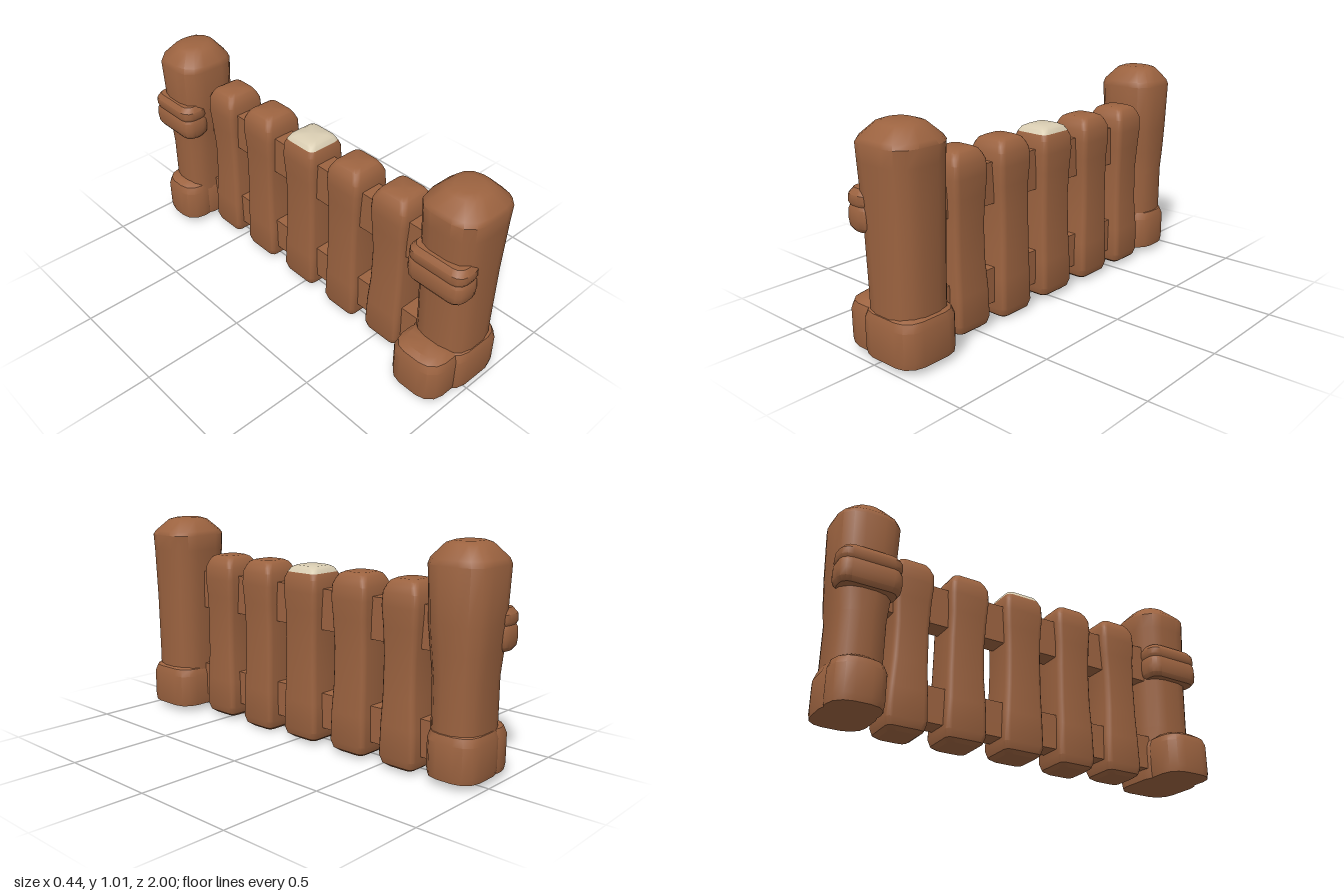
import * as THREE from 'three';
import { toCreasedNormals } from 'three/addons/utils/BufferGeometryUtils.js';

const wood = new THREE.MeshStandardMaterial({ color: 0x9c6340 });
wood.name = 'brown wood';
const cream = new THREE.MeshStandardMaterial({ color: 0xd9cdb2 });
cream.name = 'pale cream';

// Rounded rectangle outline, running from +x towards +z
function outline(x0, x1, z0, z1, r, steps = 3) {
  const pts = [];
  const corners = [[x1 - r, z1 - r], [x0 + r, z1 - r], [x0 + r, z0 + r], [x1 - r, z0 + r]];
  corners.forEach(([cx, cz], q) => {
    for (let k = 0; k <= steps; k++) {
      const a = (q + k / steps) * Math.PI / 2;
      pts.push([cx + r * Math.cos(a), cz + r * Math.sin(a)]);
    }
  });
  return pts;
}

// Closed solid through level sections [y, x0, x1, z0, z1, cornerRadius]
function loft(name, sections, material = wood) {
  const pos = [], index = [];
  let n = 0;
  for (const [y, ...box] of sections) {
    const ring = outline(...box);
    n = ring.length;
    for (const [x, z] of ring) pos.push(x, y, z);
  }
  const last = sections.length - 1;
  for (const s of [sections[0], sections[last]]) pos.push((s[1] + s[2]) / 2, s[0], (s[3] + s[4]) / 2);
  const bottom = n * (last + 1), top = bottom + 1;
  for (let j = 0; j < n; j++) {
    const k = (j + 1) % n;
    for (let i = 0; i < last; i++) {
      const a = i * n + j, b = i * n + k;
      index.push(a, a + n, b, b, a + n, b + n);
    }
    index.push(bottom, j, k, top, last * n + k, last * n + j);
  }
  const geo = new THREE.BufferGeometry();
  geo.setAttribute('position', new THREE.Float32BufferAttribute(pos, 3));
  geo.setIndex(index);
  const mesh = new THREE.Mesh(toCreasedNormals(geo, 0.6), material);
  mesh.name = name;
  return mesh;
}

// Sections of one footprint, from [y, inset] pairs
const inset = (box, r, levels) => levels.map(([y, d]) =>
  [y, box[0] + d, box[1] - d, box[2] + d, box[3] - d, Math.max(r - d * 0.4, 0.01)]);

const baseLevels = [[0.03, 0.004], [0.06, 0], [0.19, 0], [0.225, 0.012], [0.245, 0.04]];
const bandLevels = [[0.555, 0.018], [0.575, 0.004], [0.61, 0], [0.65, 0.002], [0.664, 0.008],
  [0.678, 0.002], [0.71, 0.004], [0.735, 0.022]];

// Shaft, strap on the -x side, and a two-lobed foot
function post(name, shaft, band, lobes) {
  const g = new THREE.Group();
  g.name = name;
  g.add(loft('postShaft', shaft));
  g.add(loft('postBand', inset(band, 0.05, bandLevels)));
  lobes.forEach(l => g.add(loft('postFoot', inset(l, 0.085, baseLevels))));
  return g;
}

// Uneven plank with a slim waist and bevelled ends
function picket(z, half, bottom, waist, lean, painted) {
  const g = new THREE.Group();
  g.name = 'picket';
  const at = (y, d, dz = 0) => [y, -0.08 + d, 0.125 - d, z - half + d + dz, z + half - d + dz, 0.026];
  const sections = [
    at(bottom, 0.03), at(bottom + 0.015, 0.01), at(bottom + 0.05, 0), at(0.2, 0.003),
    at(0.33, waist, lean), at(0.5, waist * 1.2, lean), at(0.63, 0.006), at(0.72, 0), at(0.78, 0.003),
    at(0.808, 0.014),
  ];
  const tip = [at(0.808, 0.014), at(0.828, 0.026), at(0.838, 0.045)];
  if (painted) g.add(loft('picketBody', sections), loft('paintedTip', tip, cream));
  else g.add(loft('picketBody', [...sections, ...tip.slice(1)]));
  return g;
}

export function createModel() {
  const model = new THREE.Group();
  model.name = 'fence';

  // Front post: even thickness
  model.add(post('frontPost', [
    [0.05, -0.09, 0.195, 0.705, 0.985, 0.1],
    [0.3, -0.09, 0.195, 0.705, 0.985, 0.1],
    [0.6, -0.1, 0.2, 0.7, 0.985, 0.1],
    [0.85, -0.112, 0.205, 0.695, 0.992, 0.1],
    [0.925, -0.115, 0.21, 0.693, 0.994, 0.1],
    [0.945, -0.105, 0.2, 0.702, 0.985, 0.1],
    [1.0, -0.05, 0.145, 0.755, 0.93, 0.075],
    [1.01, -0.02, 0.11, 0.785, 0.9, 0.055],
  ], [-0.145, 0, 0.697, 0.996], [[-0.1, 0.218, 0.695, 1], [-0.22, 0.02, 0.705, 0.975]]));

  // Rear post: slim shaft with a heavier head
  model.add(post('rearPost', [
    [0.05, -0.165, 0.115, -0.97, -0.74, 0.09],
    [0.45, -0.165, 0.115, -0.97, -0.737, 0.09],
    [0.56, -0.17, 0.12, -0.982, -0.725, 0.095],
    [0.68, -0.173, 0.125, -0.99, -0.712, 0.1],
    [0.915, -0.18, 0.13, -0.998, -0.706, 0.1],
    [0.94, -0.172, 0.122, -0.99, -0.712, 0.1],
    [1.0, -0.118, 0.075, -0.935, -0.765, 0.075],
    [1.01, -0.09, 0.045, -0.905, -0.795, 0.05],
  ], [-0.21, -0.06, -1, -0.708], [[-0.15, 0.13, -0.985, -0.735], [-0.22, -0.02, -0.98, -0.74]]));

  // Rails running the whole length
  for (const [y0, y1] of [[0.08, 0.248], [0.55, 0.74]]) {
    const rail = new THREE.Mesh(new THREE.BoxGeometry(0.105, y1 - y0, 1.66), wood);
    rail.name = 'rail';
    rail.position.set(0.013, (y0 + y1) / 2, 0);
    model.add(rail);
  }

  // Five pickets, the middle one with a pale tip
  [
    [0.532, 0.1, 0.012, 0.009, 0.004],
    [0.257, 0.099, 0, 0.007, -0.003],
    [-0.032, 0.104, 0.01, 0.008, 0.002, true],
    [-0.326, 0.101, 0.01, 0.008, -0.004],
    [-0.605, 0.096, 0.01, 0.01, 0.003],
  ].forEach(p => model.add(picket(...p)));

  return model;
}
